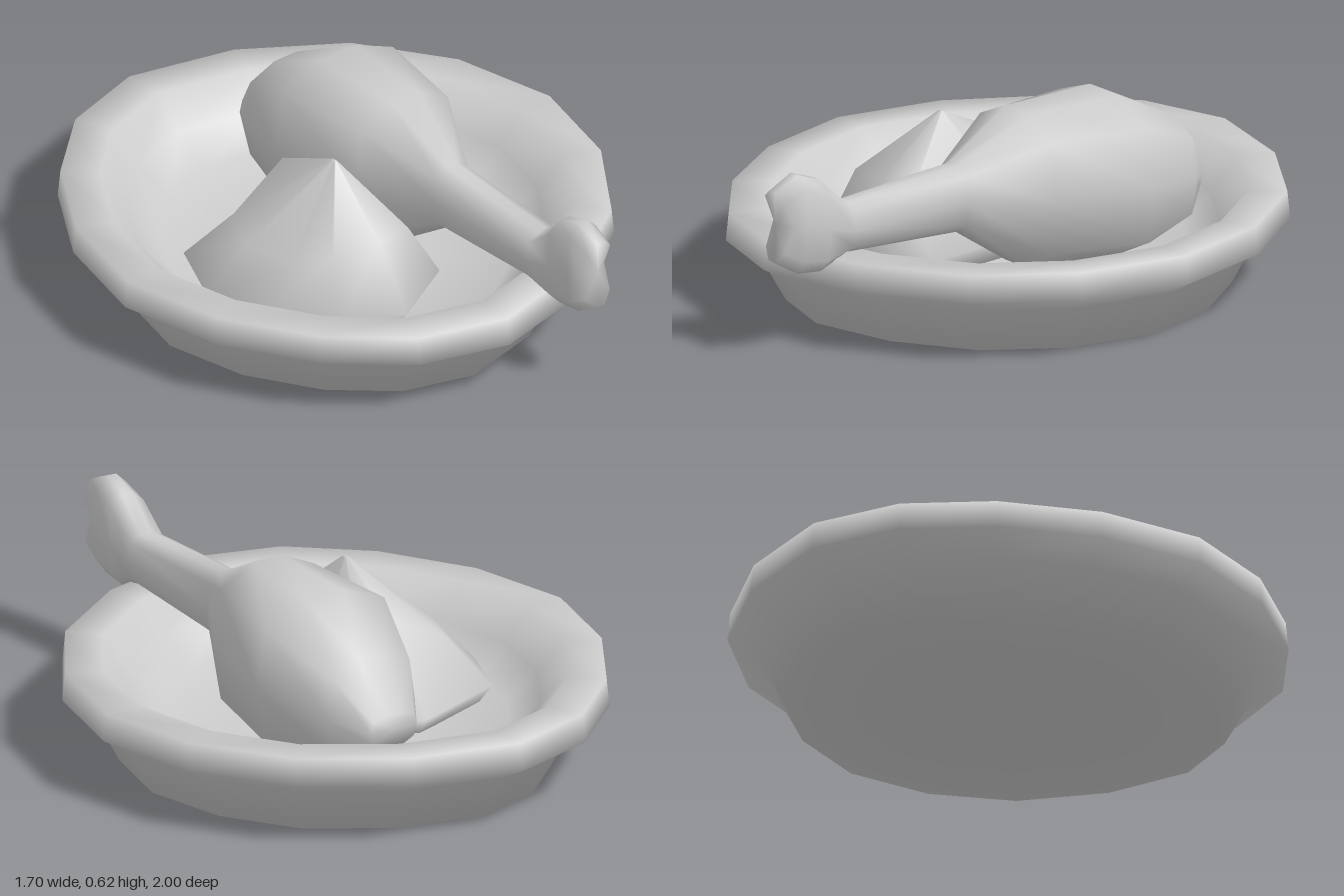
import * as THREE from 'three';

const material = new THREE.MeshStandardMaterial({ color: 0xcccccc, side: THREE.DoubleSide });

// Joins closed rings of [x, y, z] points into a smooth skin with a fan at each end.
function loft(name, rings) {
  const n = rings[0].length;
  const points = rings.flat();
  const index = [];
  const centre = (ring) => [0, 1, 2].map((k) => ring.reduce((s, p) => s + p[k], 0) / n);
  for (let i = 0; i < rings.length - 1; i++) {
    for (let j = 0; j < n; j++) {
      const a = i * n + j, b = i * n + (j + 1) % n;
      index.push(a, b, b + n, a, b + n, a + n);
    }
  }
  const first = points.length, last = first + 1, end = (rings.length - 1) * n;
  points.push(centre(rings[0]), centre(rings[rings.length - 1]));
  for (let j = 0; j < n; j++) {
    const k = (j + 1) % n;
    index.push(first, k, j, last, end + j, end + k);
  }
  const geometry = new THREE.BufferGeometry();
  geometry.setAttribute('position', new THREE.Float32BufferAttribute(points.flat(), 3));
  geometry.setIndex(index);
  geometry.computeVertexNormals();
  const mesh = new THREE.Mesh(geometry, material);
  mesh.name = name;
  return mesh;
}

// Oval bowl: profile of [radius, height], outside first, then over the broad rim and inside
function createBowl() {
  const profile = [
    [0.4, 0], [0.79, 0], [0.885, 0.155], [1, 0.21], [0.99, 0.3],
    [0.85, 0.3], [0.75, 0.2], [0.64, 0.11], [0.35, 0.09],
  ];
  // Slightly flattened between the axes, with the two end points pushed to one side
  const outline = Array.from({ length: 16 }, (_, i) => {
    const a = (i / 16) * Math.PI * 2;
    const squeeze = 1 - 0.027 * Math.abs(Math.sin(2 * a));
    return [
      0.85 * squeeze * Math.cos(a) - 0.08 * Math.sin(a) ** 6,
      -0.92 * squeeze * Math.sin(a),
    ];
  });
  return loft('bowl', profile.map(([r, y]) => outline.map(([x, z]) => [r * x, y, r * z - 0.08])));
}

// Drumstick: sections of [z, xMin, xMax, yMin, yMax, pinch], from the meaty end to the bone
function createDrumstick() {
  const sections = [
    [-0.64, 0.07, 0.24, 0.23, 0.33, 0],
    [-0.54, 0.01, 0.33, 0.14, 0.49, 0],
    [-0.30, -0.07, 0.43, 0.1, 0.615, 0],
    [0.04, -0.03, 0.36, 0.12, 0.62, 0],
    [0.28, 0.085, 0.225, 0.28, 0.495, 0],
    [0.72, 0.085, 0.22, 0.31, 0.47, 0],
    [0.82, 0.085, 0.22, 0.27, 0.565, 0],
    [0.91, 0.09, 0.215, 0.28, 0.6, 0],
    [1, 0.1, 0.205, 0.335, 0.56, 0.05],
  ];
  // Boxy cross-section with a flat top and bottom
  const section = [
    [1, 0], [0.88, 0.74], [0.28, 1], [-0.28, 1], [-0.88, 0.78],
    [-1, 0], [-0.88, -0.7], [-0.28, -1], [0.28, -1], [0.88, -0.7],
  ];
  return loft('drumstick', sections.map(([z, x0, x1, y0, y1, pinch]) => section.map(([u, v]) => [
    (x0 + x1) / 2 + ((x1 - x0) / 2) * u,
    (y0 + y1) / 2 + ((y1 - y0) / 2) * v,
    z - pinch * (1 - Math.abs(v)),
  ])));
}

// Pointed side portion: uneven foot, shoulder and peak, steep toward the front
function createSidePortion() {
  const foot = [
    [0.06, 0.16, -0.05], [0.02, 0.16, -0.28], [-0.15, 0.15, -0.37], [-0.46, 0.16, -0.27],
    [-0.55, 0.15, -0.05], [-0.51, 0.14, 0.15], [-0.36, 0.17, 0.36], [-0.15, 0.15, 0.43],
    [0.08, 0.16, 0.31],
  ];
  const shoulder = [
    [-0.02, 0.37, 0], [-0.05, 0.37, -0.14], [-0.14, 0.42, -0.18], [-0.37, 0.3, -0.16],
    [-0.42, 0.3, -0.01], [-0.38, 0.29, 0.15], [-0.32, 0.35, 0.28], [-0.16, 0.36, 0.31],
    [-0.03, 0.35, 0.29],
  ];
  const peak = shoulder.map(([x, , z]) => [-0.15 + (x + 0.15) * 0.04, 0.54, 0.08 + (z - 0.08) * 0.04]);
  const base = foot.map(([x, , z]) => [-0.2 + (x + 0.2) * 0.85, 0.08, z * 0.85]);
  return loft('sidePortion', [base, foot, shoulder, peak]);
}

export function createModel() {
  const model = new THREE.Group();
  model.name = 'bowlOfFood';
  model.add(createBowl(), createDrumstick(), createSidePortion());
  return model;
}
